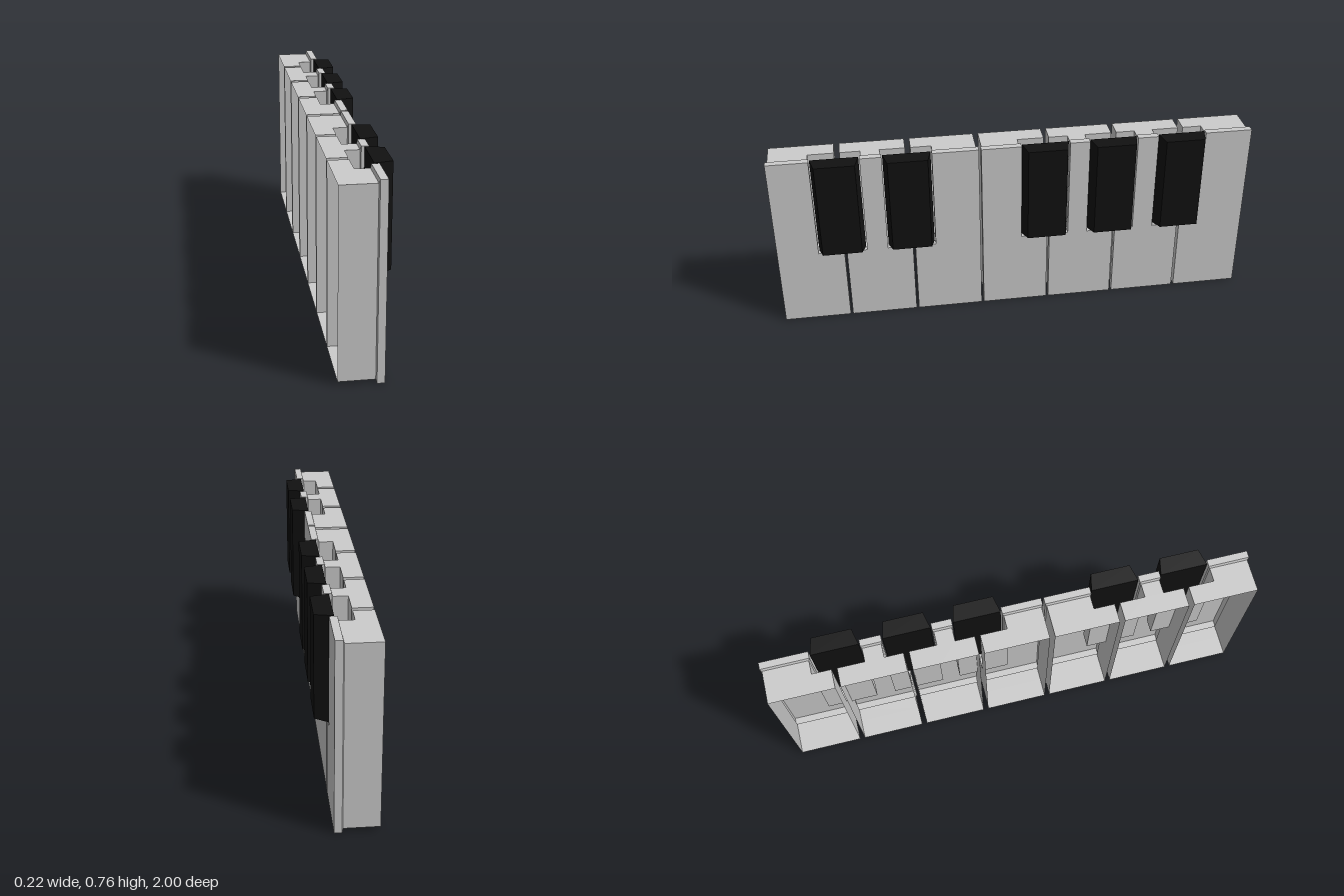
import * as THREE from 'three';

const PITCH = 0.2871;                                  // spacing of the white keys
const BLACK = { 0: -0.729, 1: -0.44, 3: 0.128, 4: 0.413, 5: 0.702 }; // black key centre after white key i

// Joins outlines lying in planes of constant x. Outlines hold [u, y] with u = -z,
// counter-clockwise seen from +x; the ends can be capped.
function loft(sections, capBack) {
  const pos = [];
  const tri = (a, b, c) => {
    const ab = b.clone().sub(a), ac = c.clone().sub(a);
    if (ab.cross(ac).length() > 1e-8) for (const p of [a, b, c]) pos.push(p.x, p.y, p.z);
  };
  const rings = sections.map(([x, pts]) => pts.map(([u, y]) => new THREE.Vector3(x, y, -u)));
  for (let s = 0; s < rings.length - 1; s++) {
    const a = rings[s], b = rings[s + 1], n = a.length;
    for (let i = 0; i < n; i++) {
      const j = (i + 1) % n;
      tri(a[i], a[j], b[j]);
      tri(a[i], b[j], b[i]);
    }
  }
  const cap = (ring, flip) => {
    const flat = ring.map((p) => new THREE.Vector2(-p.z, p.y));
    for (const [i, j, k] of THREE.ShapeUtils.triangulateShape(flat, [])) {
      if (flip) tri(ring[i], ring[k], ring[j]);
      else tri(ring[i], ring[j], ring[k]);
    }
  };
  cap(rings[rings.length - 1], false);
  if (capBack) cap(rings[0], true);
  const geometry = new THREE.BufferGeometry();
  geometry.setAttribute('position', new THREE.Float32BufferAttribute(pos, 3));
  geometry.computeVertexNormals();
  return geometry;
}

// Key outline with the upper corners cut away beside the black keys
function keyOutline(i, inset, notched) {
  const c = (i - 3) * PITCH, half = 0.1386 - inset;
  const l = c - half, r = c + half, y0 = inset * 2.4, y1 = 0.765 - y0;
  const gap = 0.101 + inset * 0.8, yn = 0.328 - inset;
  const nl = i - 1 in BLACK ? BLACK[i - 1] + gap : l;
  const nr = i in BLACK ? BLACK[i] - gap : r;
  return [
    [l, y0], [r, y0], [r, yn], notched ? [nr, yn] : [r, y1], [nr, y1],
    [nl, y1], notched ? [nl, yn] : [l, y1], [l, yn],
  ];
}

export function createModel() {
  const group = new THREE.Group();
  const white = new THREE.MeshStandardMaterial({ color: 0xcccccc, side: THREE.DoubleSide });
  const black = new THREE.MeshStandardMaterial({ color: 0x111111 });

  // White keys: hollow shells open at the back, flaring into a wider front plate
  for (let i = 0; i < 7; i++) {
    const body = 0.006;
    const mesh = new THREE.Mesh(loft([
      [-0.112, keyOutline(i, body, false)],
      [-0.032, keyOutline(i, body, false)],
      [-0.032, keyOutline(i, body, true)],
      [0.025, keyOutline(i, body, true)],
      [0.029, keyOutline(i, 0, true)],
      [0.058, keyOutline(i, 0, true)],
    ], false), white);
    mesh.name = 'whiteKey' + (i + 1);
    group.add(mesh);
  }

  // Black keys: tapered blocks with a sloping lower end
  const rect = (c, half, y0) => [[c - half, y0], [c + half, y0], [c + half, 0.765], [c - half, 0.765]];
  Object.values(BLACK).forEach((c, i) => {
    const mesh = new THREE.Mesh(loft([
      [0.04, rect(c, 0.097, 0.335)],
      [0.111, rect(c, 0.081, 0.352)],
    ], true), black);
    mesh.name = 'blackKey' + (i + 1);
    group.add(mesh);
  });
  return group;
}
